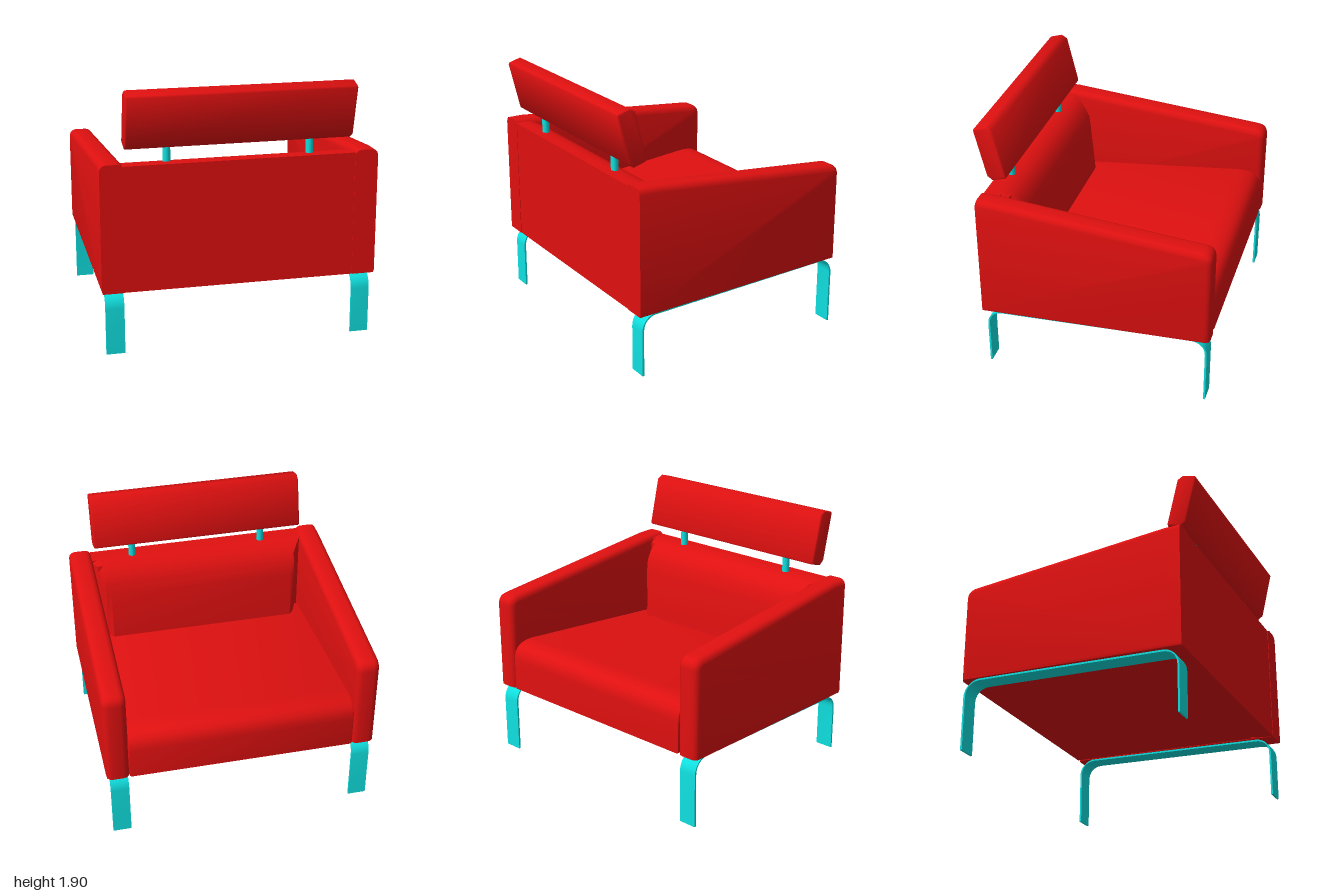
import * as THREE from 'three';
import { toCreasedNormals, mergeVertices } from 'three/addons/utils/BufferGeometryUtils.js';

const red = new THREE.MeshStandardMaterial({ color: 0xe01010 });
const cyan = new THREE.MeshStandardMaterial({ color: 0x10e0e0 });

// Height of the sloping underside at depth z
const underside = z => 0.465 + (0.82 - z) * 0.036;

// Extrudes a side outline of (z, y) along x, centred on x = 0
function sideExtrude(shape, width, bevel, segments = 3) {
  const g = new THREE.ExtrudeGeometry(shape, {
    depth: width - 2 * bevel, bevelEnabled: bevel > 0, bevelSize: bevel, bevelThickness: bevel,
    bevelOffset: -bevel, bevelSegments: segments, curveSegments: 8,
  });
  g.translate(0, 0, -(width - 2 * bevel) / 2);
  g.rotateY(-Math.PI / 2);
  return g;
}

// Joins equal rings of [x, y, z] into a closed solid with flat ends
function loft(rings) {
  const n = rings[0].length, index = [];
  for (let r = 0; r < rings.length - 1; r++) {
    for (let i = 0; i < n; i++) {
      const a = r * n + i, b = r * n + (i + 1) % n;
      index.push(a, b, a + n, b, b + n, a + n);
    }
  }
  const outline = rings[0].map(p => new THREE.Vector2(p[2], p[1]));
  const last = (rings.length - 1) * n;
  for (const [a, b, c] of THREE.ShapeUtils.triangulateShape(outline, [])) {
    index.push(a, c, b, last + a, last + b, last + c);
  }
  const g = new THREE.BufferGeometry();
  g.setAttribute('position', new THREE.Float32BufferAttribute(rings.flat(2), 3));
  g.setIndex(index);
  return g;
}

function smooth(g, angle = 0.7) {
  g.deleteAttribute('uv');
  g.deleteAttribute('normal');
  return toCreasedNormals(mergeVertices(g, 1e-4), angle);
}

export function createModel() {
  const group = new THREE.Group();
  const add = (name, geometry, material, x = 0, y = 0, z = 0) => {
    const mesh = new THREE.Mesh(geometry, material);
    mesh.name = name;
    mesh.position.set(x, y, z);
    group.add(mesh);
    return mesh;
  };

  // Seat cushion with a rounded front edge, sloping down to the back
  const seat = new THREE.Shape();
  seat.moveTo(0.65, underside(0.65));
  seat.lineTo(0.65, 0.76);
  seat.lineTo(-0.68, 0.895);
  seat.bezierCurveTo(-0.80, 0.905, -0.875, 0.87, -0.875, 0.76);
  seat.lineTo(-0.875, underside(-0.875));
  add('seat', smooth(sideExtrude(seat, 1.67, 0.015, 2)), red);

  // Backrest: rounded top, front face drawn back towards both ends
  const backProfile = [
    [0.49, underside(0.49)], [0.49, 0.76], [0.53, 1.14], [0.55, 1.23], [0.585, 1.30],
    [0.64, 1.35], [0.70, 1.373], [0.76, 1.378], [0.822, 1.378], [0.822, 0.466],
  ];
  const ends = [[0.835, 0.70], [0.80, 0.645], [0.757, 0.54], [0.72, 0.48]];
  const stations = [...ends.map(([x, z]) => [-x, z]), ...[...ends].reverse()];
  const rings = stations.map(([x, front]) => backProfile.map(([z, y]) => [x, y, Math.max(z, front)]));
  const back = loft(rings);
  add('backrest', smooth(back), red).material.side = THREE.DoubleSide;

  // Arms: tapered side outline, soft edges, flat rear face
  const arm = new THREE.Shape();
  arm.moveTo(0.88, underside(0.88) - 0.025);
  arm.lineTo(0.88, 1.395);
  arm.lineTo(0.70, 1.395);
  arm.lineTo(-0.80, 1.262);
  arm.quadraticCurveTo(-0.88, 1.255, -0.88, 1.18);
  arm.lineTo(-0.88, underside(-0.88) - 0.025);
  const armGeometry = sideExtrude(arm, 0.17, 0.045);
  const p = armGeometry.attributes.position;
  for (let i = 0; i < p.count; i++) {
    const z = Math.min(p.getZ(i), 0.825);
    p.setXYZ(i, p.getX(i), Math.max(p.getY(i), underside(z)), z);
  }
  const armSmooth = smooth(armGeometry);

  // Legs: one bent strap under each arm
  const t = 0.014, r = 0.125;
  const zA = 0.797, zB = -0.862, yA = 0.464, yB = 0.522;
  const strap = new THREE.Shape();
  strap.moveTo(zA, 0);
  strap.lineTo(zA, yA - r);
  strap.bezierCurveTo(zA, yA - r * 0.45, zA - r * 0.45, yA, zA - r, yA);
  strap.lineTo(zB + r, yB);
  strap.bezierCurveTo(zB + r * 0.45, yB, zB, yB - r * 0.45, zB, yB - r);
  strap.lineTo(zB, 0);
  strap.lineTo(zB + t, 0);
  strap.lineTo(zB + t, yB - r);
  strap.bezierCurveTo(zB + t, yB - r * 0.45, zB + r * 0.45, yB - t, zB + r, yB - t);
  strap.lineTo(zA - r, yA - t);
  strap.bezierCurveTo(zA - r * 0.45, yA - t, zA - t, yA - r * 0.45, zA - t, yA - r);
  strap.lineTo(zA - t, 0);
  const strapGeometry = smooth(sideExtrude(strap, 0.135, 0));

  // Headrest posts
  const post = new THREE.CylinderGeometry(0.027, 0.027, 0.25, 16);

  for (const [side, s] of [['left', 1], ['right', -1]]) {
    add(side + 'Arm', armSmooth, red, s * 0.915);
    add(side + 'Legs', strapGeometry, cyan, s * 0.908);
    add(side + 'HeadrestPost', post, cyan, s * 0.515, 1.43, 0.732);
  }

  // Tilted headrest bolster
  const head = new THREE.Shape([
    [0.785, 1.898], [0.74, 1.872], [0.655, 1.525], [0.66, 1.508], [0.755, 1.48],
    [0.797, 1.51], [0.881, 1.858], [0.874, 1.872],
  ].map(([z, y]) => new THREE.Vector2(z, y)));
  add('headrest', smooth(sideExtrude(head, 1.635, 0.012, 2), 0.9), red);

  return group;
}
